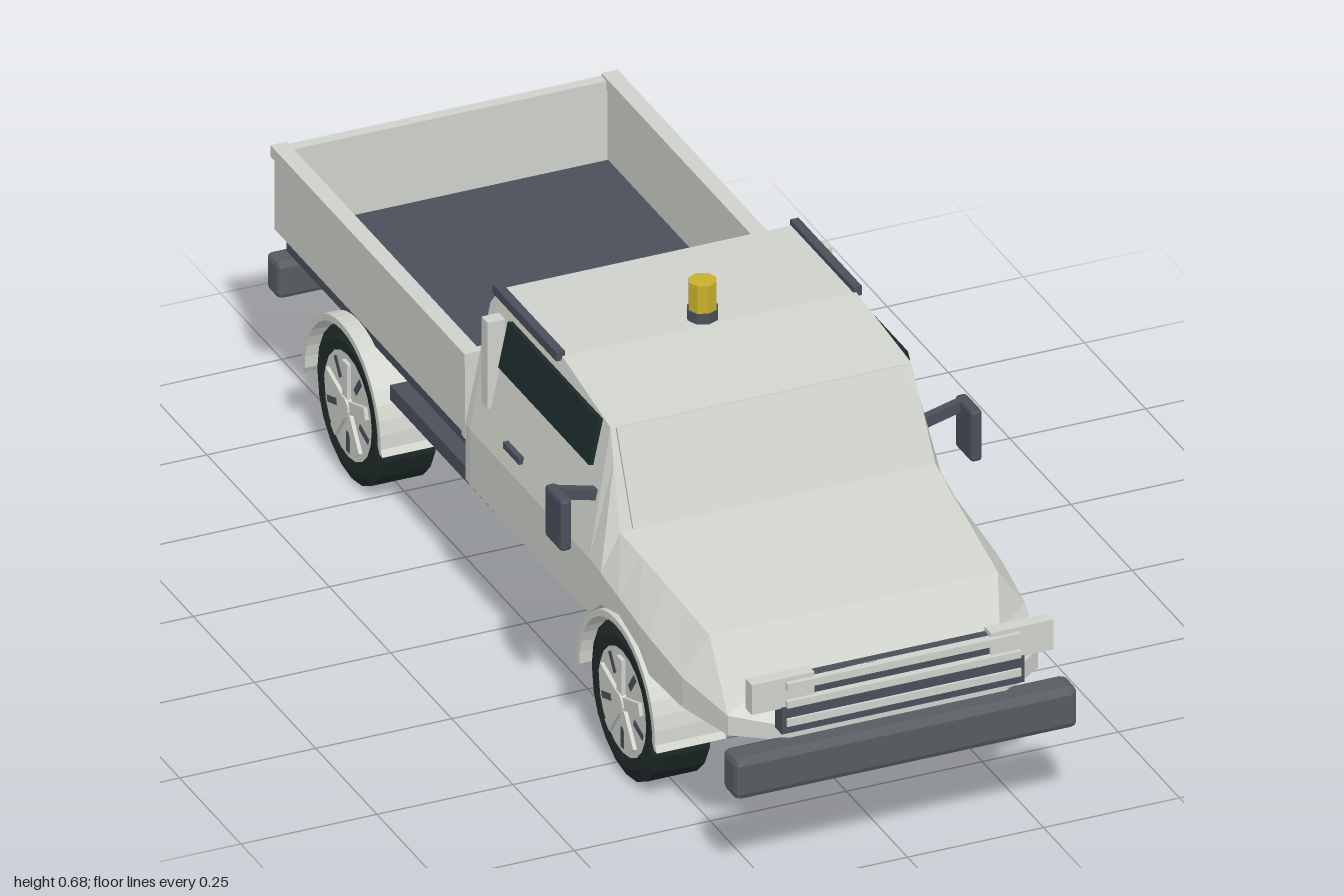
import * as THREE from 'three';
import { RoundedBoxGeometry } from 'three/addons/geometries/RoundedBoxGeometry.js';

const mat = (name, color) => {
  const m = new THREE.MeshStandardMaterial({ color, flatShading: true });
  m.name = name;
  return m;
};

export function createModel() {
  const body = mat('bodyGrey', 0xcfd2cb);
  const dark = mat('darkGrey', 0x4b4f5a);
  const bumperMat = mat('bumperGrey', 0x565c60);
  const rubber = mat('tyreBlack', 0x202c2b);
  const glass = mat('darkGlass', 0x1c2c2b);
  const red = mat('lampRed', 0x9a2424);
  const amber = mat('beaconAmber', 0xc8b02c);

  const model = new THREE.Group();
  model.name = 'pickupTruck';
  const add = (name, geo, material, x = 0, y = 0, z = 0, parent = model) => {
    const m = new THREE.Mesh(geo, material);
    m.name = name;
    m.position.set(x, y, z);
    parent.add(m);
    return m;
  };
  // Box given by its minimum and maximum along each axis
  const box = (name, material, x0, x1, y0, y1, z0, z1, parent) =>
    add(name, new THREE.BoxGeometry(Math.abs(x1 - x0), y1 - y0, z1 - z0), material,
      (x0 + x1) / 2, (y0 + y1) / 2, (z0 + z1) / 2, parent);
  const sides = [['left', 1], ['right', -1]];

  // Cab and hood: z, bottom half width, side half width, belt height, top half width, top height
  const stations = [
    [0.96, 0.17, 0.20, 0.275, 0.17, 0.30],
    [0.90, 0.24, 0.285, 0.285, 0.215, 0.335],
    [0.78, 0.29, 0.315, 0.305, 0.265, 0.375],
    [0.664, 0.30, 0.324, 0.325, 0.274, 0.392],
    [0.624, 0.30, 0.325, 0.33, 0.277, 0.398],
    [0.544, 0.30, 0.325, 0.34, 0.283, 0.409],
    [0.47, 0.30, 0.325, 0.35, 0.29, 0.42],
    [0.424, 0.30, 0.325, 0.355, 0.281, 0.528],
    [0.40, 0.30, 0.325, 0.355, 0.276, 0.583],
    [0.19, 0.30, 0.325, 0.355, 0.27, 0.612],
    [-0.065, 0.30, 0.325, 0.355, 0.27, 0.612],
    [-0.09, 0.30, 0.322, 0.355, 0.276, 0.575],
  ];
  const frontZ = 0.544, rearZ = -0.577, hubY = 0.14;
  const loops = stations.map(([z, xb, xs, ym, xt, yt]) => {
    const arch = hubY + Math.sqrt(Math.max(0, 0.16 ** 2 - (z - frontZ) ** 2));
    const yb = Math.max(0.24, arch);
    const half = [[xb, yb], [xs, yb + 0.008], [xs, ym], [xt, yt]];
    return [...half, ...half.map(([x, y]) => [-x, y]).reverse()].map(([x, y]) => [x, y, z]);
  });
  const verts = [];
  const n = 8, last = loops[loops.length - 1];
  for (let i = 0; i + 1 < loops.length; i++) {
    for (let j = 0; j < n; j++) {
      const k = (j + 1) % n;
      const [a, b, c, d] = [loops[i][j], loops[i][k], loops[i + 1][k], loops[i + 1][j]];
      verts.push(...a, ...d, ...b, ...b, ...d, ...c);
    }
  }
  for (let j = 1; j + 1 < n; j++) {
    verts.push(...loops[0][0], ...loops[0][j], ...loops[0][j + 1]);
    verts.push(...last[0], ...last[j + 1], ...last[j]);
  }
  const hull = new THREE.BufferGeometry();
  hull.setAttribute('position', new THREE.Float32BufferAttribute(verts, 3));
  hull.computeVertexNormals();
  add('cabAndHood', hull, body);

  // Windscreen panel
  add('windscreen', new THREE.BoxGeometry(0.534, 0.172, 0.009), body, 0, 0.502, 0.436).rotation.x = -0.4;

  // Side windows, pillars, roof rails, handles and mirrors
  for (const [side, s] of sides) {
    add(side + 'Window', new THREE.BoxGeometry(0.009, 0.086, 0.37), glass, s * 0.289, 0.543, 0.185)
      .rotation.z = s * 0.21;
    box(side + 'Pillar', body, s * 0.285, s * 0.317, 0.42, 0.585, -0.035, -0.01);
    box(side + 'RoofRail', dark, s * 0.265, s * 0.281, 0.604, 0.621, -0.07, 0.19);
    box(side + 'DoorHandle', dark, s * 0.31, s * 0.325, 0.388, 0.4, 0.07, 0.135);
    add(side + 'Mirror', new RoundedBoxGeometry(0.021, 0.098, 0.068, 1, 0.006), dark, s * 0.377, 0.44, 0.412);
    add(side + 'MirrorArm', new THREE.BoxGeometry(0.08, 0.02, 0.015), dark, s * 0.335, 0.469, 0.395)
      .rotation.z = s * 0.25;
  }

  // Roof beacon
  add('beaconBase', new THREE.CylinderGeometry(0.028, 0.028, 0.02, 8), dark, 0, 0.621, 0.163);
  add('beacon', new THREE.CylinderGeometry(0.025, 0.025, 0.053, 8), amber, 0, 0.657, 0.163);

  // Grille with light ends and bars
  box('grilleUpper', dark, -0.165, 0.165, 0.327, 0.374, 0.955, 0.975);
  box('grilleLower', dark, -0.223, 0.223, 0.277, 0.327, 0.955, 0.983);
  for (const [side, s] of sides) {
    box(side + 'HeadlampPanel', body, s * 0.162, s * 0.277, 0.325, 0.382, 0.955, 0.98);
  }
  for (const [y0, y1] of [[0.36, 0.374], [0.327, 0.34], [0.292, 0.306]]) {
    box('grilleBar', body, -0.215, 0.215, y0, y1, 0.972, 0.988);
  }

  // Bumpers, tow hitch and plate
  add('frontBumper', new RoundedBoxGeometry(0.63, 0.078, 0.058, 1, 0.012), bumperMat, 0, 0.215, 0.971);
  add('rearBumper', new RoundedBoxGeometry(0.62, 0.07, 0.052, 1, 0.01), bumperMat, 0, 0.22, -0.907);
  box('towHitch', dark, -0.05, 0.05, 0.138, 0.21, -1, -0.885);
  box('rearPlate', body, -0.065, 0.065, 0.245, 0.302, -0.925, -0.917);

  // Chassis
  for (const [side, s] of sides) {
    box(side + 'FrameRail', dark, s * 0.145, s * 0.2, 0.185, 0.235, -0.785, 0.785);
    box(side + 'SideStep', dark, s * 0.24, s * 0.312, 0.23, 0.258, -0.42, 0.005);
    box(side + 'BedSupport', dark, s * 0.15, s * 0.195, 0.23, 0.29, -0.785, -0.12);
    box(side + 'BumperBracket', dark, s * 0.15, s * 0.19, 0.195, 0.23, -0.89, -0.78);
  }
  for (const z of [0.72, 0.1, -0.3, -0.75]) box('crossMember', dark, -0.15, 0.15, 0.19, 0.23, z - 0.025, z + 0.025);
  for (const z of [0, -0.38]) box('stepBracket', dark, -0.25, 0.25, 0.215, 0.24, z - 0.035, z - 0.005);

  // Cargo bed
  box('bedBase', dark, -0.3, 0.3, 0.285, 0.325, -0.87, -0.12);
  for (const z of [-0.2, -0.37]) box('floorRib', dark, -0.29, 0.29, 0.322, 0.328, z - 0.018, z + 0.018);
  for (const [side, s] of sides) {
    box(side + 'BedWall', body, s * 0.291, s * 0.312, 0.318, 0.47, -0.885, -0.105);
    box(side + 'BedTopRail', body, s * 0.289, s * 0.319, 0.458, 0.48, -0.893, -0.1);
    box(side + 'BedFrontPost', body, s * 0.295, s * 0.318, 0.318, 0.475, -0.115, -0.1);
    box(side + 'TailLamp', red, s * 0.222, s * 0.296, 0.33, 0.428, -0.912, -0.885);
  }
  box('bedFrontWall', body, -0.3, 0.3, 0.318, 0.475, -0.125, -0.104);
  box('tailgate', body, -0.312, 0.312, 0.318, 0.475, -0.893, -0.872);

  // Wheels with five spokes, and mudguards
  const tyreGeo = new THREE.LatheGeometry([[0.098, -0.054], [0.118, -0.056], [0.14, -0.047],
    [0.14, 0.047], [0.118, 0.056], [0.098, 0.054], [0.09, 0.04]].map(([r, h]) => new THREE.Vector2(r, h)), 20);
  const rimGeo = new THREE.CylinderGeometry(0.1, 0.1, 0.106, 20);
  const guard = new THREE.Shape();
  guard.moveTo(0.168, -0.012);
  guard.absarc(0, 0, 0.161, 0, Math.PI, false);
  guard.lineTo(-0.168, -0.012);
  guard.lineTo(-0.156, -0.012);
  guard.absarc(0, 0, 0.149, Math.PI, 0, true);
  guard.lineTo(0.156, -0.012);
  guard.closePath();
  const guardGeo = new THREE.ExtrudeGeometry(guard, { depth: 0.128, bevelEnabled: false, curveSegments: 10 });
  guardGeo.translate(0, 0, -0.064).rotateY(Math.PI / 2);

  for (const [end, z] of [['front', frontZ], ['rear', rearZ]]) {
    for (const [side, s] of sides) {
      const wheel = new THREE.Group();
      wheel.name = end + side + 'Wheel';
      wheel.position.set(s * 0.265, hubY, z);
      wheel.rotation.z = -s * Math.PI / 2;
      model.add(wheel);
      add('tyre', tyreGeo, rubber, 0, 0, 0, wheel);
      add('rim', rimGeo, body, 0, 0, 0, wheel);
      add('hubCap', new THREE.CylinderGeometry(0.02, 0.024, 0.012, 10), body, 0, 0.057, 0, wheel);
      add('axleStub', new THREE.CylinderGeometry(0.03, 0.03, 0.03, 10), dark, 0, -0.062, 0, wheel);
      for (let i = 0; i < 5; i++) {
        const spoke = new THREE.Group();
        spoke.name = 'spoke';
        spoke.rotation.y = i * Math.PI * 2 / 5;
        wheel.add(spoke);
        box('spokeBar', body, 0.015, 0.085, 0.05, 0.06, -0.011, 0.011, spoke);
        box('spokeGap', dark, -0.088, -0.05, 0.05, 0.0545, -0.006, 0.006, spoke);
      }
      add(end + side + 'Mudguard', guardGeo, body, s * 0.267, hubY, z);
    }
  }
  return model;
}
